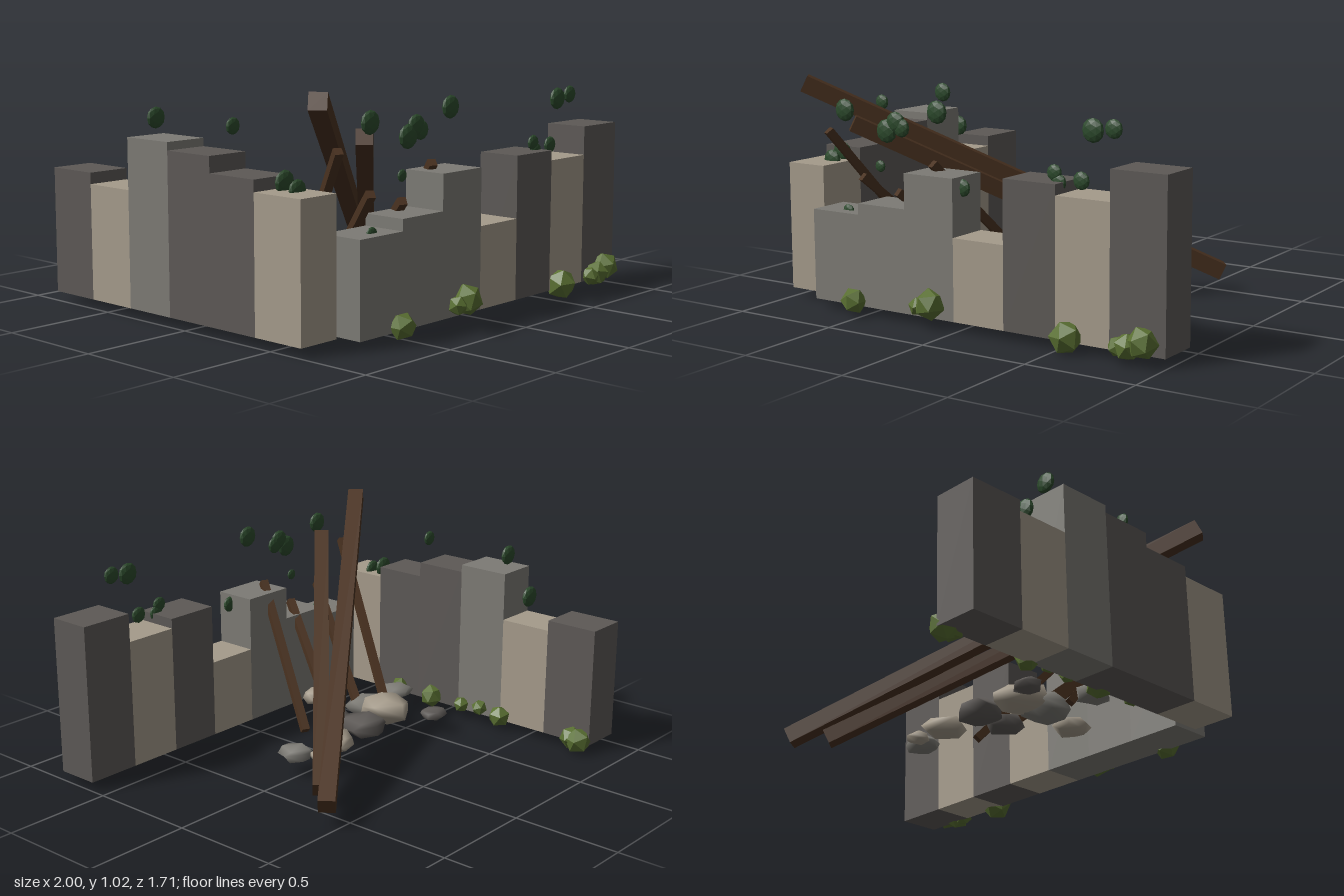
import * as THREE from 'three';
import { mergeVertices } from 'three/addons/utils/BufferGeometryUtils.js';

const mat = (name, color, flatShading = true) => {
  const m = new THREE.MeshStandardMaterial({ color, flatShading });
  m.name = name;
  return m;
};

export function createModel() {
  const group = new THREE.Group();
  const light = mat('paleStone', 0xa59b8b), mid = mat('greyStone', 0x7d7b75), dark = mat('darkStone', 0x5d5956);
  const wood = mat('oldWood', 0x4a3220), bush = mat('bushGreen', 0x5a7032), vine = mat('ivyGreen', 0x2c4a2c);
  const add = (name, geo, material, x = 0, y = 0, z = 0) => {
    const m = new THREE.Mesh(geo, material);
    m.name = name;
    m.position.set(x, y, z);
    group.add(m);
    return m;
  };

  // Broken walls: stone columns of uneven height on a common base
  const base = 0.06, step = 0.253;
  const frontWall = [[0.465, mid], [0.515, mid], [0.67, mid], [0.42, light], [0.695, dark], [0.65, light], [0.78, dark]];
  frontWall.forEach(([top, m], i) =>
    add('frontWallColumn', new THREE.BoxGeometry(step, top - base, 0.2), m, -0.773 + step * (i + 0.5), (top + base) / 2, 0.668));
  const sideWall = [[0.62, dark], [0.57, light], [0.795, mid], [0.76, dark], [0.69, dark], [0.64, light]];
  sideWall.forEach(([top, m], i) =>
    add('sideWallColumn', new THREE.BoxGeometry(0.2, top - base, step), m, -0.9, (top + base) / 2, -0.85 + step * (i + 0.5)));

  // Fallen timbers, each a box laid between two points
  const beam = (name, a, b, size) => {
    const p = new THREE.Vector3(...a), q = new THREE.Vector3(...b);
    const m = add(name, new THREE.BoxGeometry(size, size, p.distanceTo(q)), wood);
    m.position.copy(p).add(q).multiplyScalar(0.5);
    m.lookAt(q);
  };
  beam('roofBeam', [-0.9, 1.005, 0.665], [0.61, 0.12, -0.465], 0.075);
  beam('roofBeam', [-0.63, 0.845, 0.66], [0.5, 0.12, -0.335], 0.07);
  [[-0.775, 0.8], [-0.585, 0.61], [-0.39, 0.56], [-0.2, 0.7]].forEach(([x, y]) =>
    beam('rafter', [x, y, 0.655], [x + 0.245, 0.125, 0.165], 0.036));

  // Rubble: flattened, irregular boulders [x, y, z, radius, material]
  const rockGeometry = (seed) => {
    let g = new THREE.DodecahedronGeometry(1, 0);
    g.deleteAttribute('normal');
    g.deleteAttribute('uv');
    g = mergeVertices(g, 1e-3);
    const p = g.attributes.position, v = new THREE.Vector3();
    for (let i = 0; i < p.count; i++) {
      v.fromBufferAttribute(p, i).multiplyScalar(1 + 0.1 * Math.sin(i * 2.7 + seed * 4.1));
      p.setXYZ(i, v.x, v.y, v.z);
    }
    g.rotateY(seed);
    g.computeVertexNormals();
    return g;
  };
  const smooth = new Map([light, mid, dark].map((m) => {
    const s = m.clone();
    s.flatShading = false;
    return [m, s];
  }));
  [
    [-0.37, 0.15, 0.03, 0.13, light], [-0.4, 0.13, 0.14, 0.12, mid], [-0.16, 0.14, -0.01, 0.11, dark],
    [-0.14, 0.14, 0.16, 0.09, dark], [-0.555, 0.11, -0.12, 0.065, dark], [-0.65, 0.13, 0.18, 0.08, mid],
    [0.06, 0.13, -0.02, 0.1, light], [0.19, 0.11, -0.06, 0.055, light], [0.26, 0.12, 0.03, 0.08, mid],
    [-0.32, 0.14, 0.4, 0.085, light],
  ].forEach(([x, y, z, r, m], i) =>
    add('rubbleStone', rockGeometry(i + 1), smooth.get(m), x, y, z).scale.set(r, r * 0.5, r));

  // Low bushes along the foot of both walls
  const bushGeometry = new THREE.IcosahedronGeometry(1, 0);
  const addBush = (x, y, z, r, turn) => {
    const m = add('bush', bushGeometry, bush, x, y, z);
    m.scale.setScalar(r);
    m.rotation.set(turn, turn * 1.7, 0);
  };
  [[-0.54, 0.085, 0.06], [-0.185, 0.11, 0.045], [-0.125, 0.125, 0.07], [0.555, 0.085, 0.073],
    [0.795, 0.085, 0.045], [0.84, 0.09, 0.06], [0.905, 0.115, 0.068]]
    .forEach(([x, y, r], i) => addBush(x, y, 0.785, r, i));
  [[-0.8, 0.08, 0.065], [-0.76, 0.085, 0.055], [-0.35, 0.085, 0.055], [-0.23, 0.1, 0.04],
    [-0.12, 0.09, 0.04], [0.065, 0.09, 0.058], [0.27, 0.1, 0.04]]
    .forEach(([z, y, r], i) => addBush(-0.785, y, z, r, i + 0.5));

  // Ivy clumps: thin, round leaf masses over the wall tops
  const ivyGeometry = new THREE.IcosahedronGeometry(1, 1);
  const ivy = (x, y, z, r) => add('ivyClump', ivyGeometry, vine, x, y, z).scale.set(r, r, r * 0.42);
  [[-0.64, 0.905, 0.05], [-0.41, 0.83, 0.052], [-0.36, 0.87, 0.048], [-0.33, 0.85, 0.042],
    [-0.14, 0.93, 0.05], [-0.447, 0.675, 0.026], [-0.01, 0.622, 0.038], [-0.63, 0.46, 0.03],
    [0.445, 0.728, 0.035], [0.465, 0.69, 0.036], [0.572, 0.707, 0.038], [0.625, 0.912, 0.05], [0.72, 0.925, 0.04]]
    .forEach(([x, y, r]) => ivy(x, y, 0.7, r));
  [[-0.44, 0.69, 0.05], [-0.31, 0.87, 0.047], [0.163, 0.87, 0.036], [0.455, 0.67, 0.05], [0.525, 0.645, 0.045]]
    .forEach(([z, y, r]) => ivy(-0.87, y, z, r));

  return group;
}
